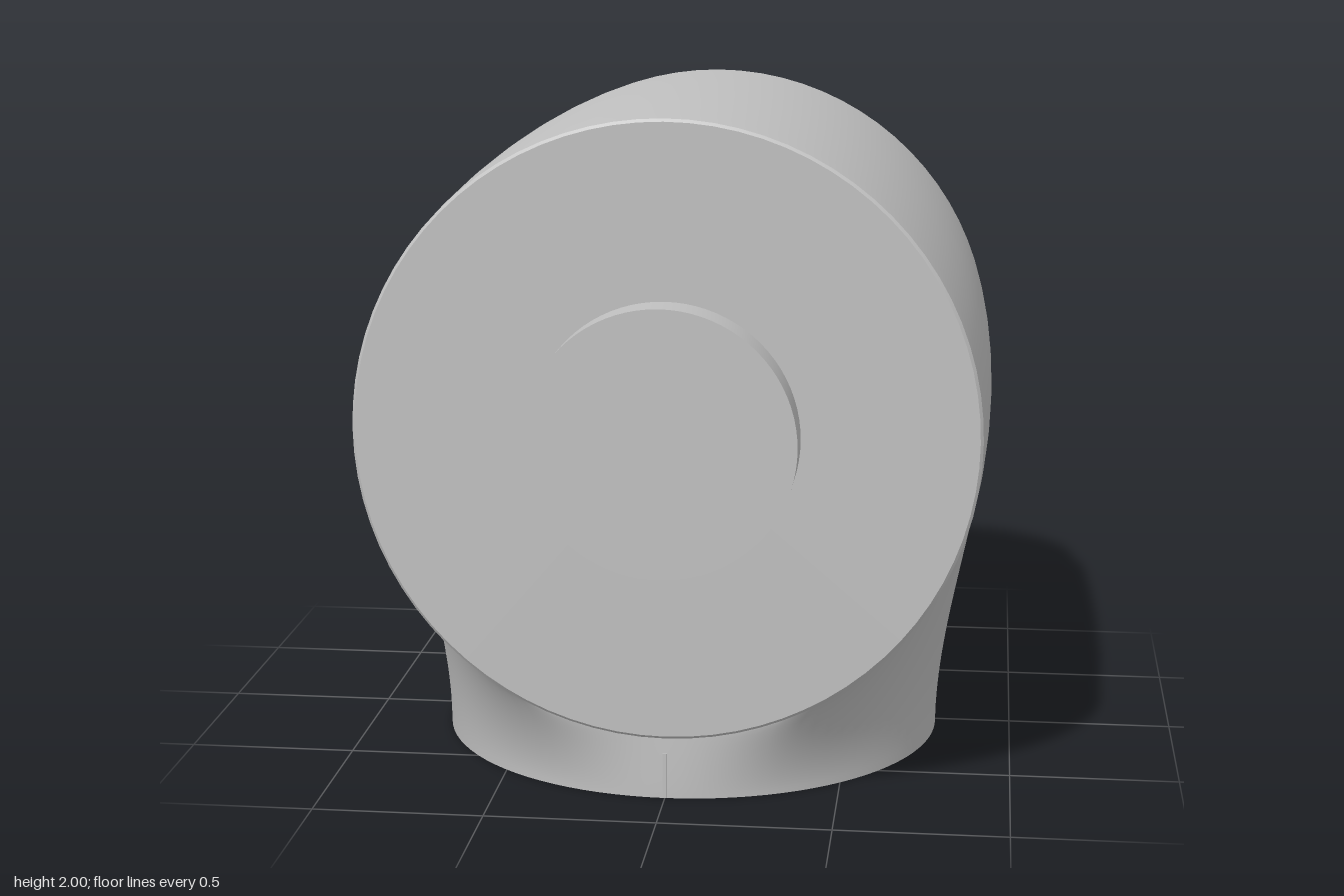
import * as THREE from 'three';
import { toCreasedNormals } from 'three/addons/utils/BufferGeometryUtils.js';

const AXIS_Y = 1.08;    // height of the drum axis
const MID_Z = 0.0325;   // middle of drum and base
const HALF = 0.7675;    // half length of drum, and base radius
const drumRadius = (z) => 0.9 + 0.02 * (1 - (z / HALF) ** 2);

export function createModel() {
  const group = new THREE.Group();
  const grey = new THREE.MeshStandardMaterial({ color: 0xc0c0c0 });
  grey.name = 'grey';

  const add = (name, geometry) => {
    const mesh = new THREE.Mesh(geometry, grey);
    mesh.name = name;
    group.add(mesh);
    return mesh;
  };
  const lathe = (profile) => toCreasedNormals(
    new THREE.LatheGeometry(profile.map(([r, y]) => new THREE.Vector2(r, y)), 80), 0.5);
  // Turned part lying along z, on the drum axis
  const turned = (name, profile, z) => {
    add(name, lathe(profile).rotateX(Math.PI / 2)).position.set(0, AXIS_Y, z);
  };

  // Slightly barrel-shaped drum with softened rims
  const barrel = [[0, -HALF], [0.892, -HALF]];
  for (let i = 0; i <= 16; i++) {
    const z = (HALF - 0.008) * (i / 8 - 1);
    barrel.push([drumRadius(z), z]);
  }
  barrel.push([0.892, HALF], [0, HALF]);
  turned('drum', barrel, MID_Z);

  // Front boss, and rear collar with a recessed floor
  turned('frontBoss', [[0.388, 0.79], [0.388, 0.92], [0, 0.92]], 0);
  turned('rearCollar', [
    [0, -0.8], [0.83, -0.8], [0.83, -0.92], [0.86, -0.92], [0.865, -0.915], [0.865, -0.72],
  ], 0);

  // Underside with a shallow round socket
  add('baseUnderside', lathe([[0, 0.06], [0.385, 0.06], [0.385, 0], [HALF, 0]]))
    .position.z = MID_Z;

  // Neck flaring from the round base into the sides of the drum
  add('neck', neckGeometry()).position.z = MID_Z;

  // Fine seam mark on the front of the neck
  add('frontSeam', new THREE.BoxGeometry(0.012, 0.135, 0.008))
    .position.set(0, 0.0675, MID_Z + HALF - 0.003);

  return group;
}

function neckGeometry() {
  const around = 96, up = 20, positions = [], indices = [];
  for (let i = 0; i <= around; i++) {
    const a = (i / around) * Math.PI * 2;
    const c = Math.cos(a), s = Math.sin(a);
    // End point on the drum: high at the sides, lowest at front and back
    const side = Math.min(Math.asin(Math.min(1, Math.abs(s))), Math.PI / 2);
    const z = Math.sign(s) * (HALF - 0.008) * Math.sin(Math.min(side * 1.4, Math.PI / 2));
    const r = drumRadius(z) - 0.002;
    const start = new THREE.Vector3(HALF * c, 0, HALF * s);
    const end = new THREE.Vector3(r * c, AXIS_Y - r * Math.abs(s), z);
    const len = start.distanceTo(end);
    // Leaves the base upright and meets the drum along its curve
    const lean = Math.abs(s) * Math.sign(c) * Math.min(1, 2 * Math.abs(c));
    const tangent = new THREE.Vector3(lean, Math.abs(c), 0).multiplyScalar(len);
    for (let j = 0; j <= up; j++) {
      const t = j / up, t2 = t * t, t3 = t2 * t;
      const p = start.clone().multiplyScalar(2 * t3 - 3 * t2 + 1)
        .addScaledVector(end, 3 * t2 - 2 * t3)
        .addScaledVector(tangent, t3 - t2);
      p.y += len * (t3 - 2 * t2 + t);
      positions.push(p.x, p.y, p.z);
    }
  }
  for (let i = 0; i < around; i++) {
    for (let j = 0; j < up; j++) {
      const a = i * (up + 1) + j, b = a + up + 1;
      indices.push(a, a + 1, b, b, a + 1, b + 1);
    }
  }
  const geometry = new THREE.BufferGeometry();
  geometry.setAttribute('position', new THREE.Float32BufferAttribute(positions, 3));
  geometry.setIndex(indices);
  return toCreasedNormals(geometry, 0.9);
}
